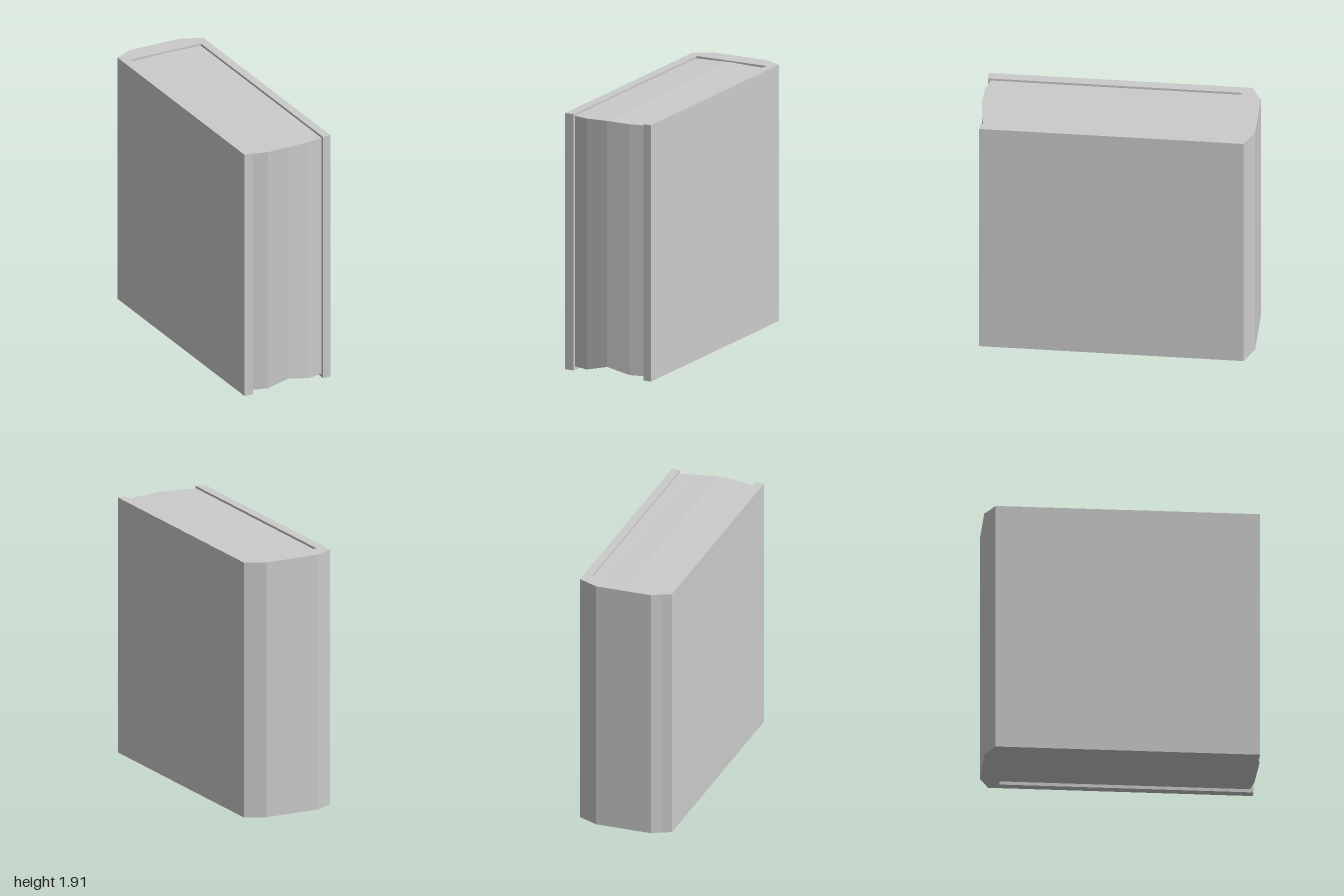
import * as THREE from 'three';

const HEIGHT = 1.915;

export function createModel() {
  const group = new THREE.Group();
  group.name = 'book';
  const material = new THREE.MeshStandardMaterial({ color: 0xcccccc, flatShading: true });

  // Cover: U-shaped outline (x, z) with a bevelled spine, extruded upwards
  const outline = [
    [-0.355, 0.985], [-0.285, 0.985], [-0.285, -0.855], [0.29, -0.855], [0.29, 0.985],
    [0.352, 0.985], [0.352, -0.93], [0.205, -1], [-0.22, -1], [-0.285, -0.962], [-0.355, -0.93],
  ];
  const shape = new THREE.Shape(outline.map(([x, z]) => new THREE.Vector2(x, -z)));
  const coverGeometry = new THREE.ExtrudeGeometry(shape, { depth: HEIGHT, bevelEnabled: false });
  coverGeometry.rotateX(-Math.PI / 2);
  const cover = new THREE.Mesh(coverGeometry, material);
  cover.name = 'cover';
  group.add(cover);

  // Page block: per column x, front z, and top and bottom heights at the front
  const columns = [
    { x: -0.285, z: 0.965, top: 1.898, bottom: 0.025 },
    { x: -0.17, z: 0.995, top: 1.9, bottom: 0.025 },
    { x: 0, z: 1, top: 1.905, bottom: 0.067 },
    { x: 0.175, z: 0.983, top: 1.9, bottom: 0.025 },
    { x: 0.29, z: 0.96, top: 1.898, bottom: 0.025 },
  ];
  const pagesGeometry = new THREE.BoxGeometry(4, 1, 1, 4, 1, 1);
  const p = pagesGeometry.attributes.position;
  for (let i = 0; i < p.count; i++) {
    const c = columns[Math.round(p.getX(i)) + 2];
    const front = p.getZ(i) > 0;
    const upper = p.getY(i) > 0;
    // The underside is flat at the spine and arches towards the fore edge
    const y = upper ? c.top : front ? c.bottom : 0.025;
    p.setXYZ(i, c.x, y, front ? c.z : -0.855);
  }
  pagesGeometry.computeVertexNormals();
  const pages = new THREE.Mesh(pagesGeometry, material);
  pages.name = 'pages';
  group.add(pages);

  return group;
}
